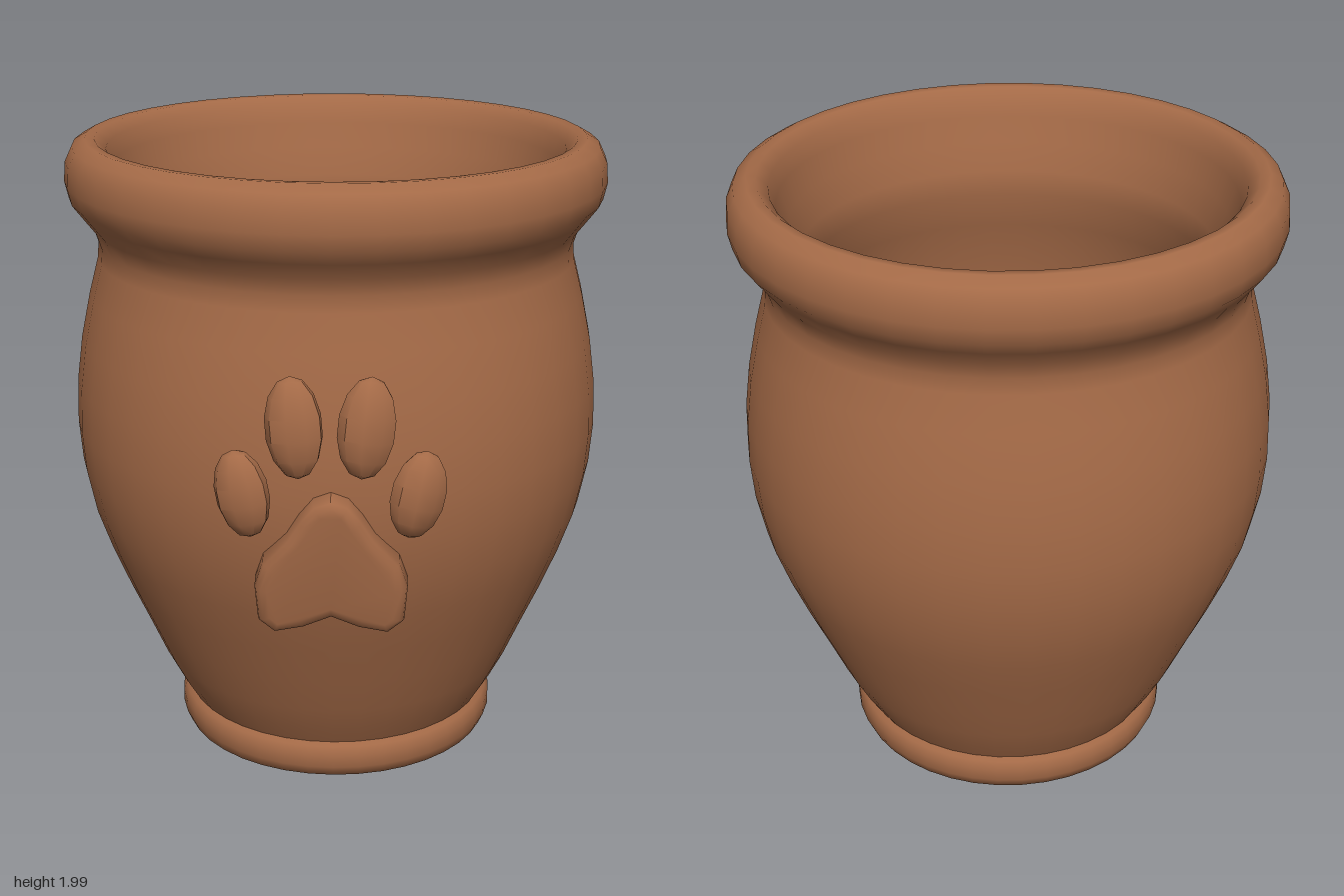
import * as THREE from 'three';
import { toCreasedNormals } from 'three/addons/utils/BufferGeometryUtils.js';

export function createModel() {
  const model = new THREE.Group();
  model.name = 'pawPot';
  const clay = new THREE.MeshStandardMaterial({ color: 0xa46a47 });
  clay.name = 'terracotta';

  const add = (parent, name, geometry) => {
    const mesh = new THREE.Mesh(geometry, clay);
    mesh.name = name;
    parent.add(mesh);
    return mesh;
  };
  const lathe = (points) =>
    new THREE.LatheGeometry(points.map(([r, y]) => new THREE.Vector2(r, y)), 40);

  // The pot is slightly narrower front to back
  const pot = new THREE.Group();
  pot.name = 'pot';
  pot.scale.z = 0.956;
  pot.position.z = -0.038;
  model.add(pot);

  // Rounded foot ring with a flat underside
  add(pot, 'foot', toCreasedNormals(lathe([
    [0, 0.01], [0.48, 0.01], [0.51, 0.025], [0.525, 0.06], [0.525, 0.1],
    [0.515, 0.13], [0.49, 0.147], [0.4, 0.15],
  ]), 0.9));

  // Bellied wall, rolled rim and hollow inside
  add(pot, 'body', lathe([
    [0.5, 0.14], [0.54, 0.21], [0.585, 0.3], [0.635, 0.42], [0.695, 0.56], [0.75, 0.7],
    [0.793, 0.83], [0.82, 0.97], [0.829, 1.1], [0.823, 1.24], [0.803, 1.38],
    [0.772, 1.52], [0.742, 1.63], [0.737, 1.68], [0.752, 1.73], [0.79, 1.78],
    [0.82, 1.82], [0.831, 1.87], [0.826, 1.93], [0.804, 1.975], [0.765, 1.997],
    [0.735, 1.995], [0.702, 1.965], [0.685, 1.91], [0.66, 1.83], [0.63, 1.74],
    [0.62, 1.66], [0.65, 1.54], [0.69, 1.38], [0.71, 1.2], [0.71, 1.05],
    [0.685, 0.85], [0.63, 0.63], [0.54, 0.43], [0.42, 0.29], [0.24, 0.21], [0, 0.19],
  ]));

  // Raised paw print on the front
  const paw = new THREE.Group();
  paw.name = 'pawPrint';
  model.add(paw);

  // Heart-like main pad, leaning with the belly
  const half = [[0.05, 0.2], [0.09, 0.15], [0.125, 0.09], [0.195, 0.01], [0.22, -0.07],
    [0.212, -0.18], [0.165, -0.222], [0.08, -0.205]];
  const outline = [[0, 0.22], ...half, [0, -0.17],
    ...half.slice().reverse().map(([x, y]) => [-x, y])];
  const padShape = new THREE.Shape(outline.map(([x, y]) => new THREE.Vector2(x, y)));
  const padGeometry = new THREE.ExtrudeGeometry(padShape, {
    depth: 0.06, bevelThickness: 0.03, bevelSize: 0.035, bevelOffset: -0.035, bevelSegments: 3,
  });
  const pad = add(paw, 'mainPad', toCreasedNormals(padGeometry, 0.7));
  pad.position.set(0, 0.92, 0.7);
  pad.rotation.x = 0.13;

  // Four faceted toe pads: x, y, z, half width, half height, lean
  const toes = [
    [-0.25, 1.13, 0.755, 0.08, 0.132, 0.18], [-0.102, 1.33, 0.762, 0.083, 0.147, 0.08],
    [0.1, 1.33, 0.762, 0.083, 0.147, -0.1], [0.245, 1.13, 0.755, 0.08, 0.132, -0.2],
  ];
  for (const [x, y, z, w, h, lean] of toes) {
    const geometry = toCreasedNormals(new THREE.SphereGeometry(1, 9, 7).scale(w, h, 0.056), 0.7);
    const toe = add(paw, 'toePad', geometry);
    toe.position.set(x, y, z);
    toe.rotation.set(y > 1.2 ? -0.1 : 0, x * 0.8, lean);
  }
  return model;
}
